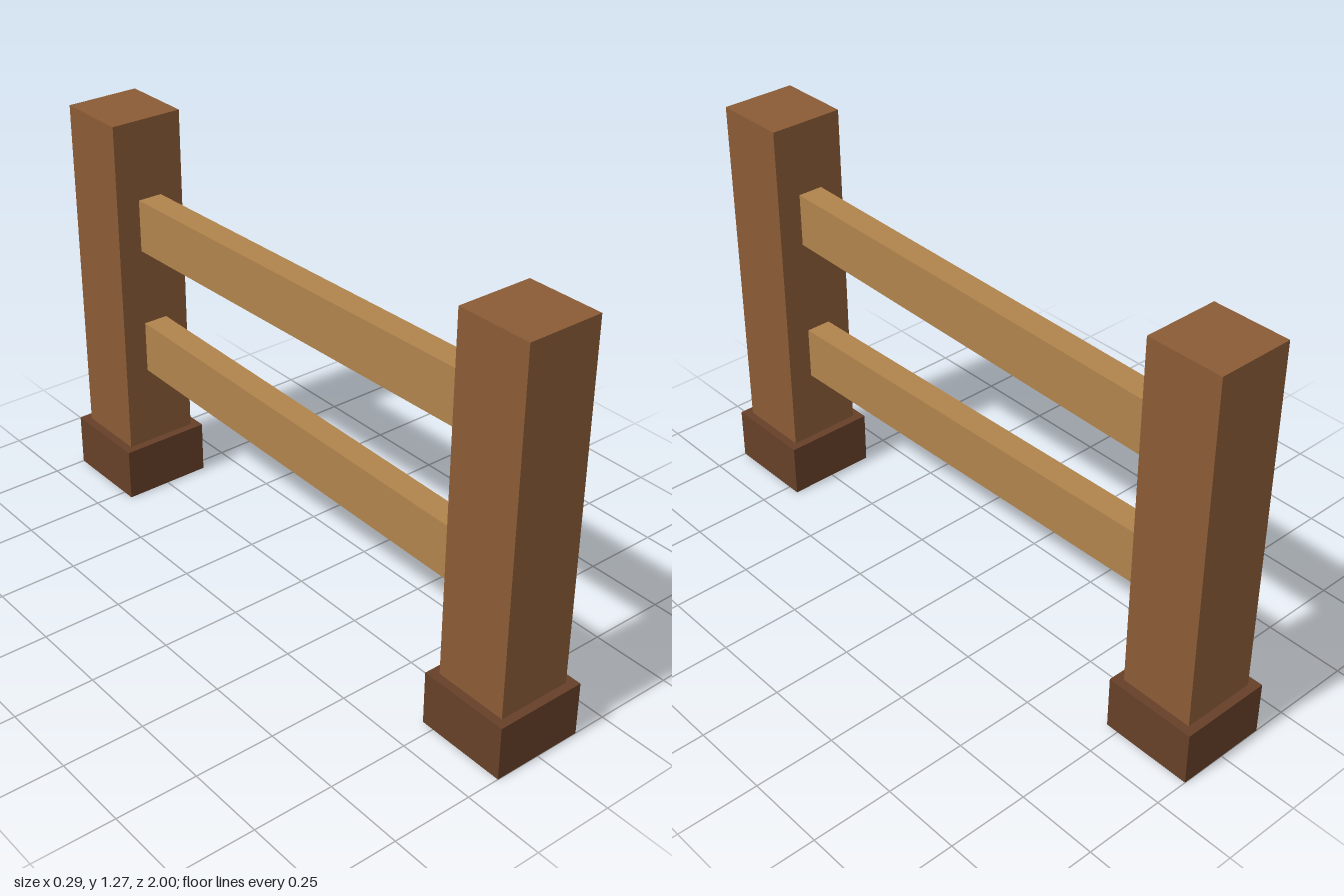
import * as THREE from 'three';

const material = (color) => new THREE.MeshStandardMaterial({ color });

export function createModel() {
  const model = new THREE.Group();
  const postWood = material(0x8b5c36);
  const baseWood = material(0x663f28);
  const railWood = material(0xb0834c);

  const addBox = (parent, name, [w, h, d], [x, y, z], mat) => {
    const mesh = new THREE.Mesh(new THREE.BoxGeometry(w, h, d), mat);
    mesh.name = name;
    mesh.position.set(x, y, z);
    parent.add(mesh);
    return mesh;
  };

  // Square posts standing in wider footings, one at each end
  const postZ = 0.855, postTop = 1.267, sunk = 0.01;
  for (const [end, side] of [['front', 1], ['back', -1]]) {
    const group = new THREE.Group();
    group.name = `${end}PostAssembly`;
    group.position.z = side * postZ;
    addBox(group, `${end}Footing`, [0.29, 0.17, 0.29], [0, 0.085, 0], baseWood);
    addBox(group, `${end}Post`, [0.236, postTop - sunk, 0.236], [0, (postTop + sunk) / 2, 0], postWood);
    model.add(group);
  }

  // Two slightly crooked rails, their ends let into the posts
  for (const [name, y, tilt] of [['upperRail', 0.943, -0.0175], ['lowerRail', 0.498, 0.02]]) {
    addBox(model, name, [0.08, 0.168, 1.6], [0, y, 0], railWood).rotation.x = tilt;
  }

  return model;
}
